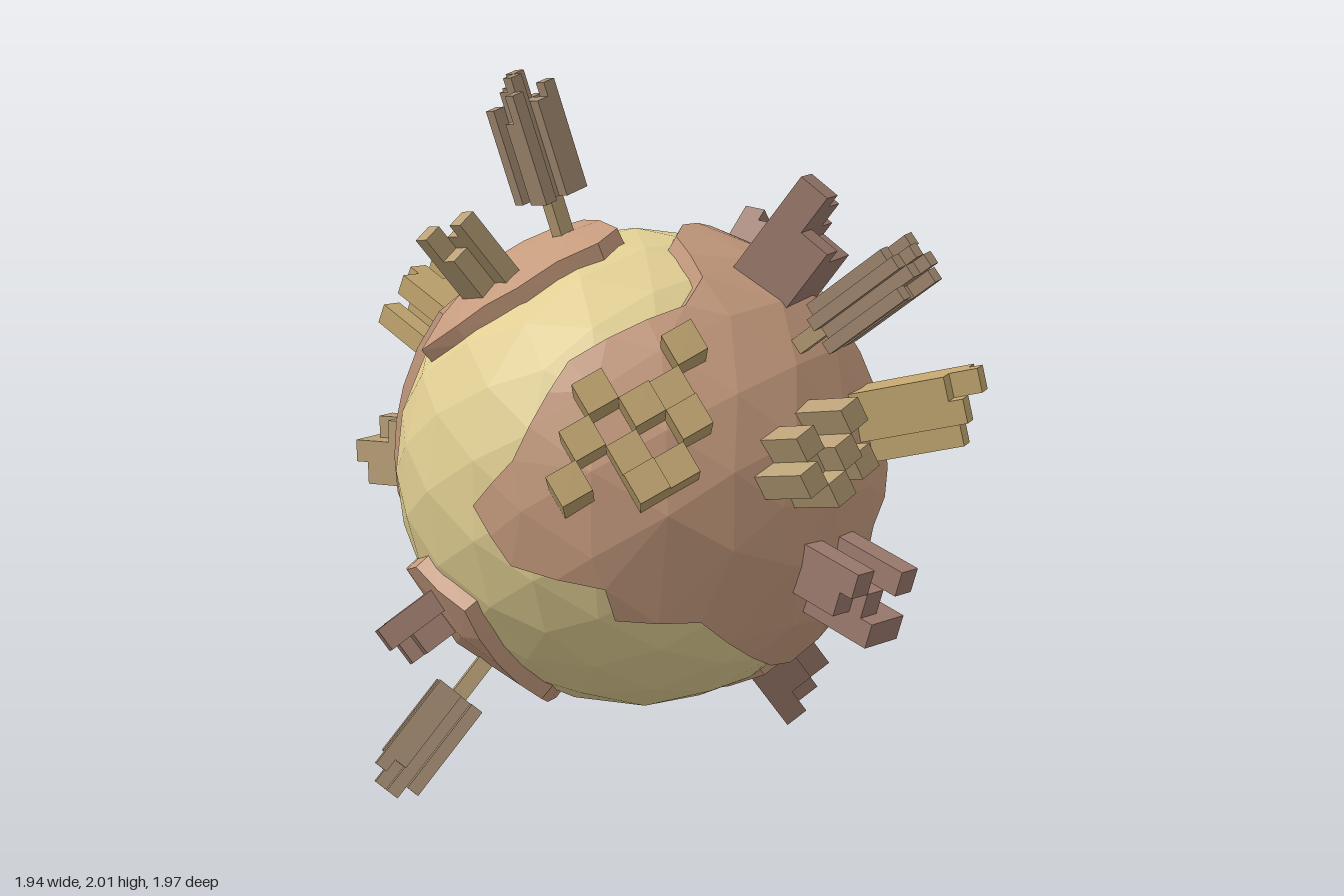
import * as THREE from 'three';
import { ConvexGeometry } from 'three/addons/geometries/ConvexGeometry.js';

const SEA = 0xe0ce92, LAND = 0xc69b7e, TAN = 0xc2a670, OLIVE = 0xb9a077, MAUVE = 0x9d7b6e, BROWN = 0xa68d74;
const SEA_R = 0.68, LAND_R = 0.715;
const vec = (a) => new THREE.Vector3(...a);
const paint = (color) => new THREE.MeshStandardMaterial({ color, flatShading: true });

// Grid of directions shared by the sea and the land facets
const grid = [];
const gridPos = new THREE.IcosahedronGeometry(1, 3).attributes.position;
for (let i = 0; i < gridPos.count; i++) {
  const v = new THREE.Vector3().fromBufferAttribute(gridPos, i);
  if (grid.every((g) => g.distanceTo(v) > 0.01)) grid.push(v);
}

// Is direction q inside a counter-clockwise outline on the sphere?
function inside(q, edge) {
  let sum = 0;
  edge.forEach((p, i) => {
    const a = p.clone().projectOnPlane(q), b = edge[(i + 1) % edge.length].clone().projectOnPlane(q);
    sum += Math.atan2(a.clone().cross(b).dot(q), a.dot(b));
  });
  return sum > Math.PI;
}

// Raised plate: the hull facets that fall inside the outline, and a bevelled rim
function plate(name, outline) {
  const edge = [];
  outline.forEach((p, i) => {
    const a = vec(p).normalize(), b = vec(outline[(i + 1) % outline.length]).normalize();
    const parts = Math.max(1, Math.round(a.angleTo(b) / 0.16));
    for (let k = 0; k < parts; k++) edge.push(a.clone().lerp(b, k / parts).normalize());
  });
  const next = (i) => edge[(i + 1) % edge.length];
  const area = new THREE.Vector3(), middle = new THREE.Vector3();
  edge.forEach((p, i) => { area.add(p.clone().cross(next(i))); middle.add(p); });
  if (area.dot(middle) < 0) edge.reverse();

  const pos = [];
  const put = (...points) => points.forEach((v) => pos.push(v.x, v.y, v.z));
  const free = grid.filter((g) => edge.every((p) => p.distanceTo(g) > 0.13));
  const hull = new ConvexGeometry([...edge, ...free]).attributes.position;
  for (let i = 0; i < hull.count; i += 3) {
    const tri = [0, 1, 2].map((k) => new THREE.Vector3().fromBufferAttribute(hull, i + k));
    const mid = tri[0].clone().add(tri[1]).add(tri[2]).normalize();
    if (inside(mid, edge)) put(...tri.map((v) => v.multiplyScalar(LAND_R)));
  }
  const foot = edge.map((p, i) => {
    const along = next(i).clone().sub(edge.at(i - 1));
    return p.clone().addScaledVector(along.cross(p).normalize(), 0.03).normalize().multiplyScalar(SEA_R - 0.02);
  });
  const rim = edge.map((p) => p.clone().multiplyScalar(LAND_R));
  rim.forEach((a, i) => {
    const j = (i + 1) % rim.length;
    put(a, foot[i], foot[j], a, foot[j], rim[j]);
  });
  const g = new THREE.BufferGeometry();
  g.setAttribute('position', new THREE.Float32BufferAttribute(pos, 3));
  g.computeVertexNormals();
  const mesh = new THREE.Mesh(g, paint(LAND));
  mesh.name = name;
  return mesh;
}

// Blocks standing on the ball; each digit is a block's height in steps of 0.04, 0 is a gap
function blocks(name, dir, roll, cell, rows, color, from = 0.62, ground = 0.68) {
  const group = new THREE.Group();
  group.name = name;
  const z = vec(dir).normalize();
  const x = new THREE.Vector3(0, 1, 0).cross(z).normalize();
  const y = z.clone().cross(x);
  group.quaternion.setFromRotationMatrix(new THREE.Matrix4().makeBasis(x, y, z));
  group.rotateZ(THREE.MathUtils.degToRad(roll));
  const mat = paint(color);
  rows.forEach((row, r) => [...row].forEach((d, q) => {
    if (d === '0') return;
    const top = ground + 0.04 * Number(d);
    const box = new THREE.Mesh(new THREE.BoxGeometry(cell, cell, top - from), mat);
    box.position.set((q - (row.length - 1) / 2) * cell, ((rows.length - 1) / 2 - r) * cell, (top + from) / 2);
    box.name = 'block';
    group.add(box);
  }));
  return group;
}

// Bundle of thin blocks carried on a slim stem
function tower(name, dir, roll, ground) {
  const group = new THREE.Group();
  group.name = name;
  group.add(blocks('stem', dir, roll, 0.045, ['5'], OLIVE));
  group.add(blocks('bundle', dir, roll, 0.037, ['0708', '8977', '0890', '7068'], BROWN, 0.82, ground));
  return group;
}

export function createModel() {
  const model = new THREE.Group();
  const world = new THREE.Group();
  world.name = 'world';
  world.position.set(-0.015, 0.87, 0.035);
  model.add(world);

  // Faceted ball
  const sea = new THREE.Mesh(new THREE.IcosahedronGeometry(SEA_R, 3), paint(SEA));
  sea.name = 'sea';
  world.add(sea);

  // Land plates
  world.add(
    plate('frontRightLand', [
      [0.41, 0.46, -0.33], [0.15, 0.66, -0.17], [0.15, 0.68, 0.02], [0.18, 0.66, 0.13], [0.31, 0.57, 0.25],
      [0.31, 0.51, 0.36], [0.08, 0.38, 0.58], [-0.03, 0.13, 0.69], [-0.15, 0, 0.69], [-0.04, -0.15, 0.68],
      [0.21, -0.2, 0.64], [0.22, -0.29, 0.6], [0.41, -0.3, 0.48], [0.48, -0.48, 0.17], [0.49, -0.5, 0.05],
      [0.58, -0.38, -0.1], [0.69, -0.12, -0.05], [0.65, 0, -0.27], [0.52, 0.42, -0.23],
    ]),
    plate('backLeftLand', [
      [0.07, 0.05, -0.69], [-0.2, 0.2, -0.63], [-0.35, 0.33, -0.51], [-0.54, 0.34, -0.28], [-0.48, 0.5, -0.08],
      [-0.54, 0.42, 0.14], [-0.64, 0.2, 0.15], [-0.67, -0.1, 0.15], [-0.55, -0.4, 0.02], [-0.34, -0.6, -0.1],
      [-0.18, -0.61, -0.29], [-0.31, -0.47, -0.41], [-0.24, -0.35, -0.56], [0.04, -0.17, -0.68],
    ]),
    plate('topLand', [
      [-0.32, 0.62, 0.05], [-0.16, 0.68, 0], [0.02, 0.68, 0.16], [0.01, 0.65, 0.26],
      [-0.15, 0.54, 0.42], [-0.32, 0.43, 0.45], [-0.45, 0.35, 0.4], [-0.37, 0.52, 0.28],
    ]),
    plate('lowerFrontLand', [
      [-0.56, -0.28, 0.3], [-0.41, -0.22, 0.52], [-0.23, -0.31, 0.58], [-0.13, -0.6, 0.33],
      [-0.2, -0.66, 0.1], [-0.45, -0.52, 0.1], [-0.57, -0.38, 0.15],
    ]),
    plate('lowerBackLand', [
      [0.44, -0.25, -0.48], [0.32, -0.38, -0.5], [0.06, -0.63, -0.3],
      [0.1, -0.67, -0.16], [0.33, -0.6, -0.15], [0.49, -0.42, -0.27],
    ]),
    plate('upperBackLand', [
      [-0.06, 0.52, -0.46], [0.15, 0.59, -0.35], [0.4, 0.38, -0.43], [0.34, 0.18, -0.58], [0, 0.45, -0.53],
    ]),
  );

  // Towers on stems
  world.add(
    tower('topTower', [-0.24, 1.11, 0.27], 15, 0.815),
    tower('rightTower', [0.92, 0.66, 0.25], 10, 0.83),
    tower('lowerTower', [-0.48, -0.83, 0.57], 20, 0.79),
  );

  // Block clusters: name, direction, roll, cell size, heights, colour
  [
    ['frontBlocks', [0.28, 0.2, 0.6], 30, 0.088, ['006005', '060650', '705060', '006500'], TAN],
    ['lowerLeftBlocks', [-0.7, -0.36, -0.38], 45, 0.075, ['0500', '0056', '6050', '0506'], TAN],
    ['upperLeftBlocks', [-0.88, 0.43, -0.29], 0, 0.062, ['9687', '7970', '0868'], TAN],
    ['leftBlocks', [-0.98, -0.03, -0.12], 0, 0.065, ['053', '566', '505'], OLIVE],
    ['backBlocks', [-0.21, 0, -0.95], 0, 0.085, ['089', '670', '056'], TAN],
    ['backLeftBlocks', [-0.64, 0.12, -0.59], 20, 0.078, ['56', '40'], MAUVE],
    ['topLeftBlocks', [-0.38, 0.75, 0.48], 10, 0.056, ['056', '640'], OLIVE],
    ['upperRightBlocks', [0.6, 0.79, -0.04], 0, 0.093, ['875', '544'], MAUVE],
    ['rightBlocks', [0.94, 0.22, -0.1], 0, 0.068, ['798', '860', '070'], TAN],
    ['frontSideBlocks', [0.84, 0.16, 0.43], 25, 0.07, ['0405', '5350', '0504'], OLIVE],
    ['lowerRightBlocks', [0.88, -0.3, 0.25], 0, 0.072, ['506', '450', '066'], MAUVE],
    ['bottomBlocks', [0.35, -0.74, -0.46], 15, 0.07, ['050', '465', '604'], MAUVE],
    ['lowerFrontBlocks', [-0.46, -0.43, 0.5], 20, 0.068, ['045', '430'], MAUVE],
    ['upperBackBlocks', [0.19, 0.67, -0.64], 10, 0.065, ['45', '54', '03'], MAUVE],
    ['smallBackBlocks', [0.34, 0.39, -0.7], 25, 0.043, ['004', '430', '043'], OLIVE],
  ].forEach((args) => world.add(blocks(...args)));

  return model;
}
